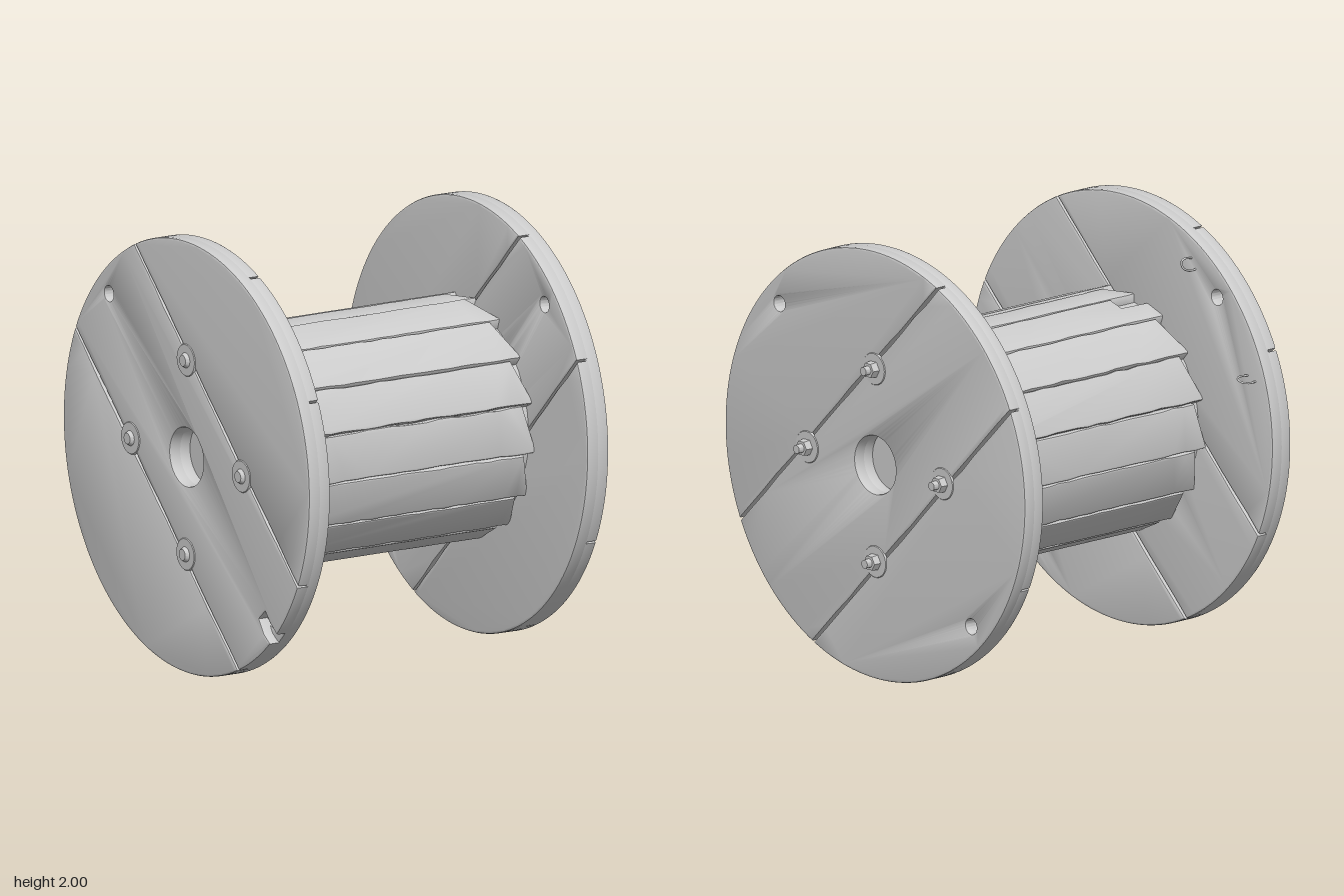
import * as THREE from 'three';
import { toCreasedNormals } from 'three/addons/utils/BufferGeometryUtils.js';

const material = new THREE.MeshStandardMaterial({ color: 0xcccccc });
const R = 1, SEAM = 0.34, GAP = 0.005, HALF = 0.058, BEVEL = 0.01;
const DRUM_LEFT = -0.74, DRUM_RIGHT = 0.68, DRUM_R = 0.55;

let seed = 7;
const jitter = (amount) => {
  seed = (seed * 16807) % 2147483647;
  return (seed / 2147483647 - 0.5) * 2 * amount;
};

function add(parent, geometry, name) {
  const mesh = new THREE.Mesh(geometry, material);
  mesh.name = name;
  parent.add(mesh);
  return mesh;
}

// Extruded board with small worn bevels, centred on its thickness
function board(shape, thickness, bevel = BEVEL) {
  const geo = new THREE.ExtrudeGeometry(shape, {
    depth: thickness - 2 * bevel, curveSegments: 40, bevelSegments: 2,
    bevelSize: bevel, bevelThickness: bevel, bevelOffset: -bevel,
  });
  geo.translate(0, 0, bevel - thickness / 2);
  return toCreasedNormals(geo, 0.6);
}

// Slightly ragged straight edge
function raggedEdge(shape, x0, y0, x1, y1, amount, steps = 16) {
  for (let i = 1; i < steps; i++) {
    const t = i / steps;
    shape.lineTo(x0 + (x1 - x0) * t, y0 + (y1 - y0) * t + jitter(amount));
  }
  shape.lineTo(x1, y1);
}

function drill(shape, x, y, r) {
  shape.holes.push(new THREE.Path().absarc(x, y, r, 0, Math.PI * 2, true));
}

// Side board: a circle segment beyond the seam
function sideBoardShape(hole) {
  const b = SEAM + GAP, s = Math.asin(b / R), x = R * Math.cos(s);
  const shape = new THREE.Shape().absarc(0, 0, R, s, Math.PI - s, false);
  raggedEdge(shape, -x, b, x, b, 0.003);
  if (hole) drill(shape, 0, 0.895, 0.035);
  return shape;
}

// Middle board with the axle hole, optionally with one end hole broken open
function middleBoardShape(holes, broken) {
  const b = SEAM - GAP, s = Math.asin(b / R), x = R * Math.cos(s);
  const shape = new THREE.Shape().absarc(0, 0, R, -s, s, false);
  raggedEdge(shape, x, b, -x, b, 0.003);
  if (broken) {
    shape.absarc(0, 0, R, Math.PI - s, Math.PI - 0.04, false);
    shape.lineTo(-0.93, 0.03);
    shape.lineTo(-0.87, 0.035);
    shape.lineTo(-0.865, -0.03);
    shape.lineTo(-0.94, -0.045);
    shape.absarc(0, 0, R, Math.PI + 0.035, Math.PI + s, false);
  } else {
    shape.absarc(0, 0, R, Math.PI - s, Math.PI + s, false);
  }
  raggedEdge(shape, -x, -b, x, -b, 0.003);
  drill(shape, 0, 0, 0.135);
  if (holes) {
    drill(shape, 0.895, 0, 0.035);
    if (!broken) drill(shape, -0.895, 0, 0.035);
  }
  return shape;
}

// One layer of three boards; angle sets the grain direction
function ply(name, angle, endHoles, broken) {
  const group = new THREE.Group();
  group.name = name;
  const thickness = HALF + BEVEL;
  const shapes = [[middleBoardShape(endHoles, broken), 0, 'middleBoard'],
    [sideBoardShape(!endHoles), 0, 'sideBoard'],
    [sideBoardShape(!endHoles), Math.PI, 'sideBoard']];
  for (const [shape, turn, label] of shapes) {
    const geo = board(shape, thickness);
    geo.rotateZ(angle + turn);
    geo.rotateY(Math.PI / 2);
    add(group, geo, label);
  }
  return group;
}

// Bolt along +x, starting at the flange face
function bolt(withNut) {
  const group = new THREE.Group();
  group.name = withNut ? 'boltWithNut' : 'boltHead';
  const disc = (r0, r1, h, x, sides, name) => {
    const geo = new THREE.CylinderGeometry(r0, r1, h, sides);
    geo.rotateZ(-Math.PI / 2);
    geo.translate(x + h / 2, 0, 0);
    add(group, toCreasedNormals(geo, 0.6), name);
  };
  disc(0.072, 0.078, 0.008, -0.004, 28, 'washer');
  if (withNut) {
    disc(0.036, 0.04, 0.036, 0.003, 6, 'nut');
    disc(0.02, 0.022, 0.068, 0, 14, 'boltEnd');
  } else {
    disc(0.026, 0.036, 0.018, 0.003, 16, 'head');
  }
  return group;
}

// Flange of two crossed plies; side is +1 or -1 along x
function flange(side) {
  const group = new THREE.Group();
  group.name = side > 0 ? 'leftFlange' : 'rightFlange';
  const left = side > 0;
  const outer = ply('outerPly', Math.PI / 4, !left, !left);
  const inner = ply('innerPly', -Math.PI / 4, left, false);
  const offset = (HALF - BEVEL) / 2;
  outer.position.x = side * offset;
  inner.position.x = -side * offset;
  group.add(outer, inner);
  for (let i = 0; i < 4; i++) {
    const a = i * Math.PI / 2, b = bolt(left);
    b.position.set(side * HALF, Math.sin(a) * 0.45, Math.cos(a) * 0.45);
    if (!left) b.rotation.y = Math.PI;
    group.add(b);
  }
  return group;
}

// Drum staves around a closed core
function drum() {
  const group = new THREE.Group();
  group.name = 'drum';
  const core = new THREE.CylinderGeometry(0.515, 0.515, DRUM_RIGHT - DRUM_LEFT - 0.02, 32);
  core.rotateZ(Math.PI / 2);
  core.translate((DRUM_LEFT + DRUM_RIGHT) / 2, 0, 0);
  add(group, toCreasedNormals(core, 0.6), 'core');
  const edges = [-79, -53, -30.5, -7.3, 15.8, 38, 61, 83, 99.5, 120.5,
    143, 166, 189, 212, 235, 258, 281];
  for (let i = 0; i < edges.length - 1; i++) {
    const rad = Math.PI / 180, span = (edges[i + 1] - edges[i]) * rad;
    const w = DRUM_R * Math.tan(span / 2) - 0.004;
    const chipped = i === 8;
    const shape = new THREE.Shape();
    shape.moveTo(DRUM_RIGHT, -w);
    raggedEdge(shape, DRUM_RIGHT, w, DRUM_LEFT, w, 0.004, 22);
    if (chipped) {
      shape.lineTo(DRUM_LEFT, -w + 0.08);
      shape.lineTo(-0.58, -w + 0.075);
      shape.lineTo(-0.575, -w);
      raggedEdge(shape, -0.575, -w, DRUM_RIGHT, -w, 0.004, 18);
    } else {
      raggedEdge(shape, DRUM_LEFT, -w, DRUM_RIGHT, -w, 0.004, 22);
    }
    const stave = add(group, board(shape, 0.06, 0.008), 'stave');
    stave.geometry.translate(0, 0, DRUM_R - 0.028 + jitter(0.004));
    stave.rotation.x = -(edges[i] + edges[i + 1]) / 2 * rad;
  }
  return group;
}

// Bent wire staple standing out from the inner face
function staple(y, z, turn) {
  const points = [[-0.02, -0.028], [0.04, -0.03], [0.068, -0.012], [0.068, 0.014],
    [0.045, 0.028], [-0.02, 0.022]].map(([x, t]) => new THREE.Vector3(x, t, 0));
  const geo = new THREE.TubeGeometry(new THREE.CatmullRomCurve3(points), 28, 0.005, 6);
  geo.rotateX(turn);
  geo.translate(-0.73, y, z);
  return geo;
}

export function createModel() {
  const model = new THREE.Group();
  model.name = 'cableSpool';
  const body = new THREE.Group();
  body.name = 'body';
  body.position.y = 1;
  model.add(body);

  // Flanges lean a little
  const left = flange(1);
  left.position.x = 0.728;
  left.rotation.set(0, -0.006, -0.009);
  const right = flange(-1);
  right.position.x = -0.788;
  right.rotation.set(0, 0.003, -0.002);
  body.add(left, right, drum());

  add(body, staple(0.765, -0.48, 0.5), 'staple');
  add(body, staple(0.3, -0.86, 1.2), 'staple');
  return model;
}
